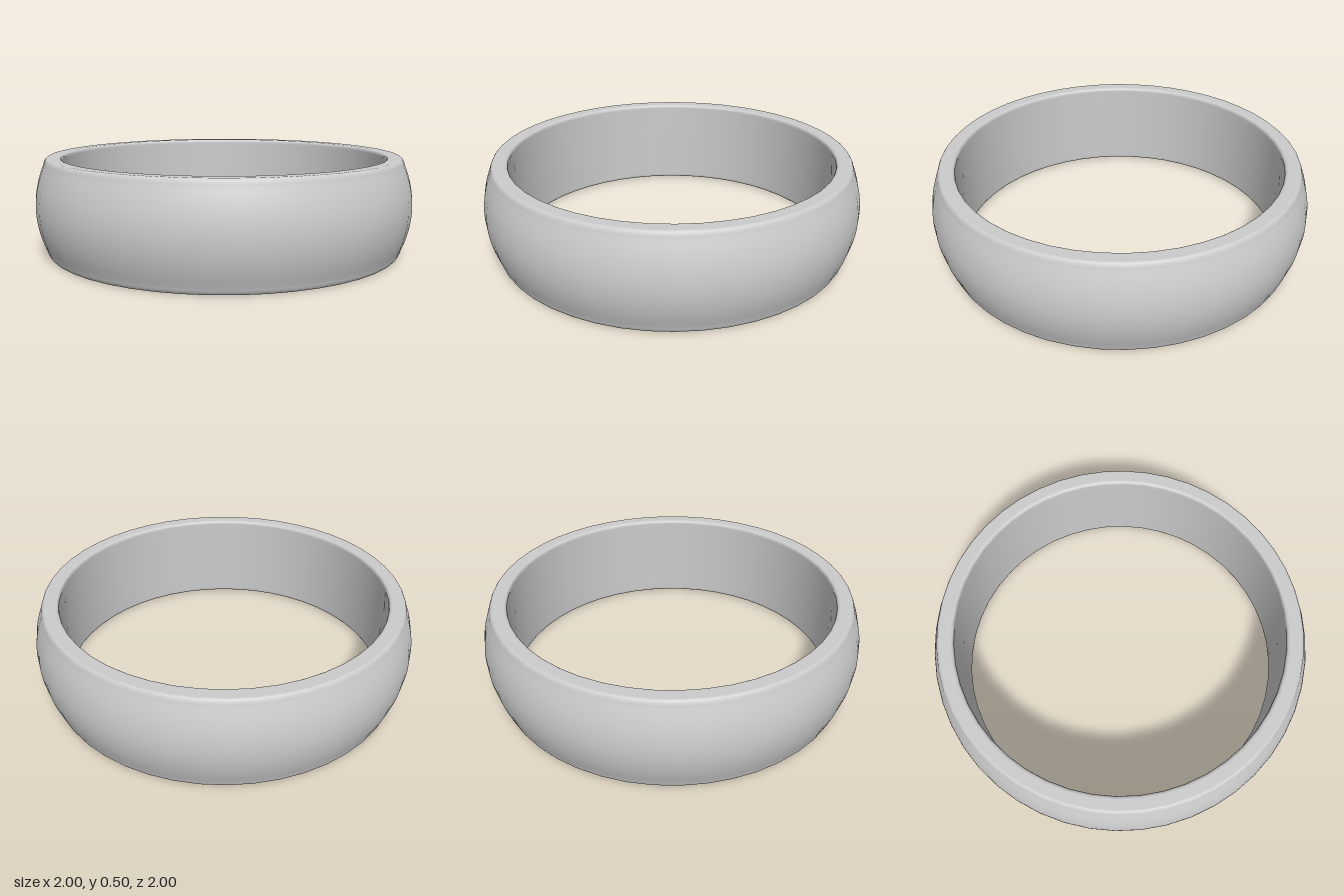
import * as THREE from 'three';

const HEIGHT = 0.5, INNER = 0.86, OUTER = 1;

// Closed cross-section, counter-clockwise, starting halfway up the inner wall
function bandProfile() {
  const s = new THREE.Shape();
  s.moveTo(INNER, HEIGHT / 2);
  s.lineTo(INNER, 0.03);
  s.lineTo(INNER, 0.02);
  s.quadraticCurveTo(INNER, 0, INNER + 0.02, 0);             // inner lower edge
  s.lineTo(0.93, 0);
  s.quadraticCurveTo(0.945, 0, 0.953, 0.035);                // outer lower edge
  s.quadraticCurveTo(0.9995, 0.145, OUTER, HEIGHT / 2);      // domed outside
  s.quadraticCurveTo(0.9995, HEIGHT - 0.145, 0.953, HEIGHT - 0.035);
  s.quadraticCurveTo(0.945, HEIGHT, 0.93, HEIGHT);           // outer upper edge
  s.lineTo(INNER + 0.02, HEIGHT);
  s.quadraticCurveTo(INNER, HEIGHT, INNER, HEIGHT - 0.02);   // inner upper edge
  s.lineTo(INNER, HEIGHT - 0.03);
  s.lineTo(INNER, HEIGHT / 2);
  return s.getPoints(8);
}

export function createModel() {
  const group = new THREE.Group();
  group.name = 'ring';
  const material = new THREE.MeshStandardMaterial({ color: 0xcccccc });

  // Domed band with a straight inner wall
  const band = new THREE.Mesh(new THREE.LatheGeometry(bandProfile(), 48), material);
  band.name = 'band';
  group.add(band);
  return group;
}
